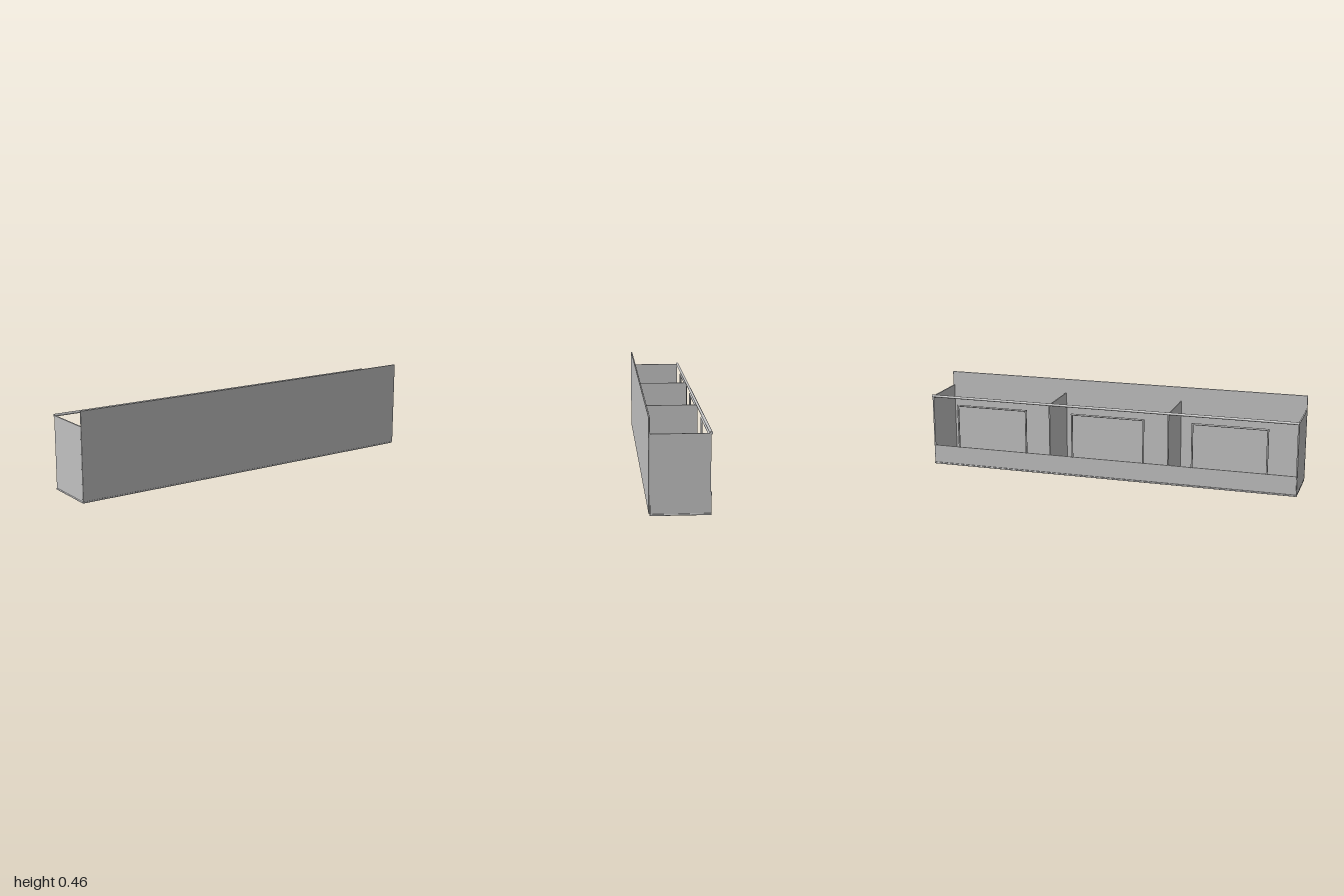
import * as THREE from 'three';
import { RoundedBoxGeometry } from 'three/addons/geometries/RoundedBoxGeometry.js';

export function createModel() {
  const model = new THREE.Group();
  const grey = new THREE.MeshStandardMaterial({ color: 0xc0c0c0 });
  grey.name = 'plain grey';

  const add = (name, geometry, parent = model) => {
    const mesh = new THREE.Mesh(geometry, grey);
    mesh.name = name;
    parent.add(mesh);
    return mesh;
  };

  // Panel given by its limits on each axis; rounded edges when radius > 0
  const panel = (name, [x0, x1], [y0, y1], [z0, z1], radius = 0) => {
    const size = [x1 - x0, y1 - y0, z1 - z0];
    const geometry = radius
      ? new RoundedBoxGeometry(...size, 2, radius)
      : new THREE.BoxGeometry(...size);
    add(name, geometry).position.set((x0 + x1) / 2, (y0 + y1) / 2, (z0 + z1) / 2);
  };

  // Round bar between two points
  const bar = (name, from, to, radius, parent = model) => {
    const a = new THREE.Vector3(...from);
    const b = new THREE.Vector3(...to);
    const mesh = add(name, new THREE.CylinderGeometry(radius, radius, a.distanceTo(b), 16), parent);
    mesh.position.copy(a).add(b).multiplyScalar(0.5);
    mesh.quaternion.setFromUnitVectors(new THREE.Vector3(0, 1, 0), b.sub(a).normalize());
  };

  // Counter shell: floor, tall front and low rear panel
  panel('floor', [-1, 1], [0, 0.009], [-0.139, 0.145], 0.002);
  panel('frontPanel', [-1, 1], [0.009, 0.461], [0.142, 0.15], 0.003);
  panel('rearLowPanel', [-0.997, 0.997], [0.009, 0.108], [-0.139, -0.134], 0.002);

  // End walls and inner dividers
  for (const side of [-1, 1]) {
    const end = side * 0.9955;
    const mid = side * 0.325;
    panel('endWall', [end - 0.0035, end + 0.0035], [0.009, 0.383], [-0.135, 0.142]);
    panel('divider', [mid - 0.003, mid + 0.003], [0.009, 0.383], [-0.135, 0.142]);
  }

  // Rail along the top of the open rear
  bar('rearRail', [-1, 0.384, -0.135], [1, 0.384, -0.135], 0.007);

  // Three hoops standing on the low rear panel
  for (const x of [-0.65, 0, 0.65]) {
    const hoop = new THREE.Group();
    hoop.name = 'rearHoop';
    hoop.position.set(x, 0, -0.1435);
    model.add(hoop);
    for (const px of [-0.195, 0.195]) bar('hoopPost', [px, 0.108, 0], [px, 0.345, 0], 0.005, hoop);
    bar('hoopTop', [-0.2, 0.342, 0], [0.2, 0.342, 0], 0.005, hoop);
  }

  return model;
}
